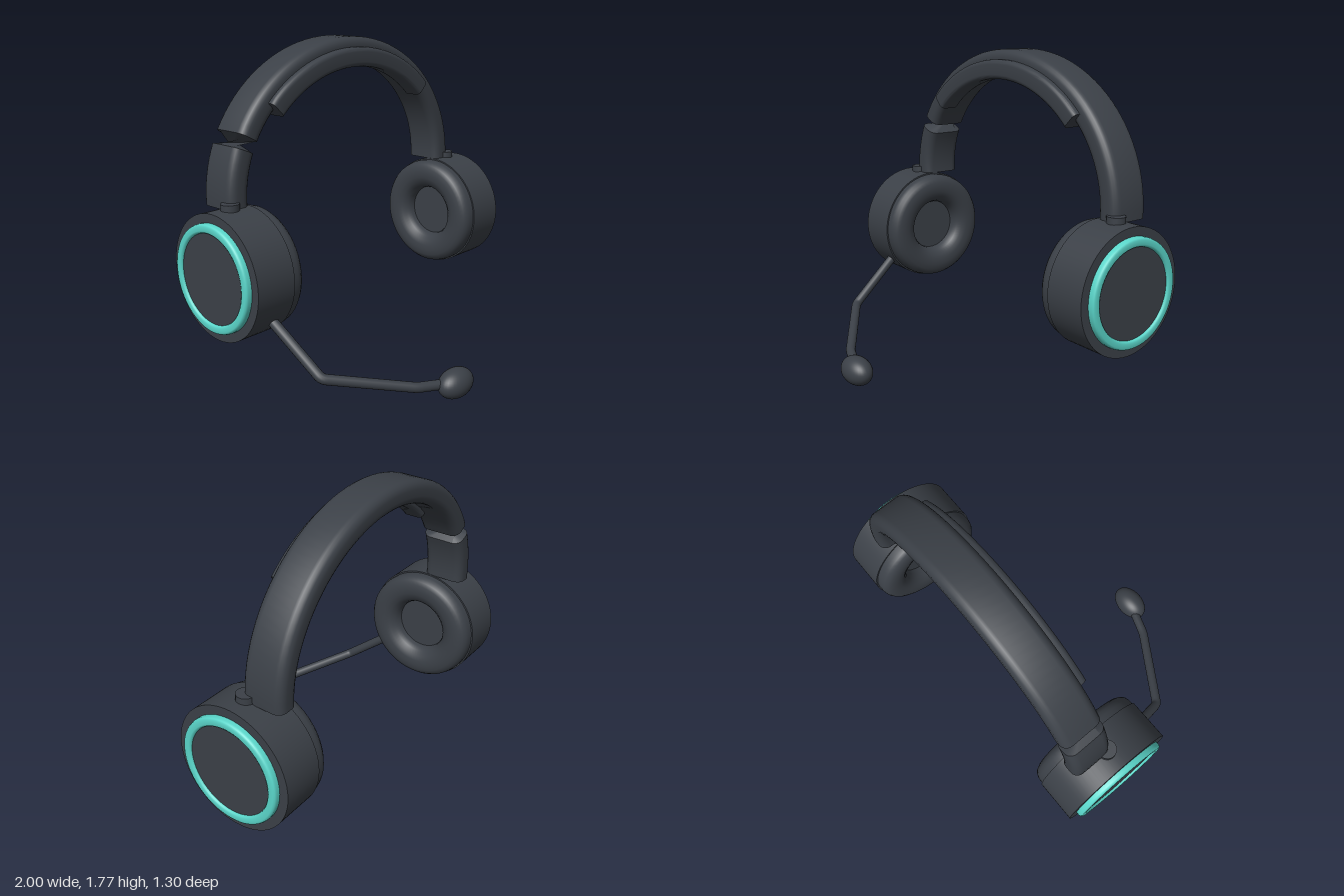
import * as THREE from 'three';
import { toCreasedNormals } from 'three/addons/utils/BufferGeometryUtils.js';

const EAR_Y = 0.65, EAR_Z = -0.32;

// rounded rectangle as [u, v] points, counter-clockwise
function roundedSection(u0, u1, v0, v1, r, n = 5) {
  const pts = [];
  const corners = [[u1 - r, v1 - r], [u0 + r, v1 - r], [u0 + r, v0 + r], [u1 - r, v0 + r]];
  corners.forEach(([u, v], k) => {
    for (let i = 0; i <= n; i++) {
      const a = (k + i / n) * Math.PI / 2;
      pts.push([u + r * Math.cos(a), v + r * Math.sin(a)]);
    }
  });
  return pts;
}

// sweep a section along the elliptical arch; u is outward, v runs along z.
// stations are [angle in degrees, flip], flip -1 turns the section half round
function archSweep(section, stations, z) {
  const a = 0.8, b = 0.7125, n = section.length, pos = [], idx = [];
  for (const [deg, flip] of stations) {
    const t = THREE.MathUtils.degToRad(deg), c = Math.cos(t), s = Math.sin(t);
    const len = Math.hypot(c / a, s / b), nx = c / a / len, ny = s / b / len;
    for (const [u, v] of section) {
      pos.push(a * c + nx * u * flip, 1 + b * s + ny * u * flip, z + v * flip);
    }
  }
  for (let i = 0; i < stations.length - 1; i++) {
    for (let j = 0; j < n; j++) {
      const p = i * n + j, q = i * n + (j + 1) % n;
      idx.push(p, p + n, q + n, p, q + n, q);
    }
  }
  const e = (stations.length - 1) * n;
  for (let j = 1; j < n - 1; j++) idx.push(0, j, j + 1, e, e + j + 1, e + j);
  const g = new THREE.BufferGeometry();
  g.setAttribute('position', new THREE.Float32BufferAttribute(pos, 3));
  g.setIndex(idx);
  return toCreasedNormals(g, 0.6);
}

function range(from, to, steps, flip) {
  return Array.from({ length: steps + 1 }, (_, i) => [from + (to - from) * i / steps, flip]);
}

function lathe(points) {
  return new THREE.LatheGeometry(points.map(p => new THREE.Vector2(p[0], p[1])), 64);
}

export function createModel() {
  const model = new THREE.Group();
  model.name = 'headset';
  const dark = new THREE.MeshStandardMaterial({ color: 0x3b4047 });
  dark.name = 'charcoal plastic';
  const teal = new THREE.MeshStandardMaterial({ color: 0x5ad6ca });
  teal.name = 'teal accent';

  function add(parent, name, geometry, material, x = 0, y = 0, z = 0) {
    const mesh = new THREE.Mesh(geometry, material);
    mesh.name = name;
    mesh.position.set(x, y, z);
    parent.add(mesh);
    return mesh;
  }

  // headband, with a half twist pinching it on the right side
  const bandStations = [...range(-2, 153.3, 44, 1), ...range(158.6, 182, 8, -1)];
  add(model, 'headband',
    archSweep(roundedSection(-0.0625, 0.0625, -0.115, 0.115, 0.045), bandStations, -0.415), dark);

  // cushion under the top of the band
  add(model, 'headbandPad',
    archSweep(roundedSection(-0.0975, 0.0075, -0.06, 0.06, 0.025), range(42, 138, 32, 1), -0.32), dark);

  // ear cups: local +y points away from the head
  const cushionProfile = [
    [0.15, 0.737], [0.152, 0.71], [0.165, 0.682], [0.19, 0.66], [0.22, 0.651], [0.25, 0.649],
    [0.28, 0.653], [0.302, 0.664], [0.316, 0.682], [0.322, 0.705], [0.322, 0.737]];
  const ringProfile = [
    [0.283, 0.963], [0.283, 0.984], [0.279, 0.994], [0.27, 0.999],
    [0.248, 0.999], [0.239, 0.994], [0.235, 0.985], [0.235, 0.963]];
  for (const side of [1, -1]) {
    const ear = new THREE.Group();
    ear.name = side > 0 ? 'leftEarCup' : 'rightEarCup';
    ear.position.set(0, EAR_Y, EAR_Z);
    ear.rotation.z = -side * Math.PI / 2;
    add(ear, 'cupShell', new THREE.CylinderGeometry(0.33, 0.33, 0.23, 64), dark, 0, 0.85);
    add(ear, 'earCushion', lathe(cushionProfile), dark);
    add(ear, 'accentRing', lathe(ringProfile), teal);
    add(ear, 'outerDisc', new THREE.CylinderGeometry(0.24, 0.24, 0.03, 64), dark, 0, 0.971);
    model.add(ear);

    // peg joining the cup to the band
    add(model, 'hingePeg', new THREE.CylinderGeometry(0.048, 0.048, 0.1, 24), dark,
      side * 0.852, 0.962, EAR_Z);
  }

  // microphone boom: straight runs with tight bends
  const pts = [[-0.818, 0.45, -0.08], [-0.77, 0.212, 0.22], [-0.37, 0.105, 0.49], [-0.2, 0.085, 0.555]]
    .map(p => new THREE.Vector3(...p));
  const boom = new THREE.CurvePath();
  let from = pts[0];
  for (let i = 1; i < pts.length - 1; i++) {
    const before = pts[i].clone().lerp(pts[i - 1], 0.025 / pts[i].distanceTo(pts[i - 1]));
    const after = pts[i].clone().lerp(pts[i + 1], 0.025 / pts[i].distanceTo(pts[i + 1]));
    boom.add(new THREE.LineCurve3(from, before));
    boom.add(new THREE.QuadraticBezierCurve3(before, pts[i], after));
    from = after;
  }
  boom.add(new THREE.LineCurve3(from, pts[3]));
  add(model, 'microphoneBoom', new THREE.TubeGeometry(boom, 90, 0.027, 16), dark);
  add(model, 'boomRoot', new THREE.SphereGeometry(0.027, 16, 12), dark, ...pts[0].toArray());

  // microphone capsule
  add(model, 'microphone', new THREE.SphereGeometry(1, 32, 24), dark, -0.16, 0.08, 0.57)
    .scale.set(0.115, 0.079, 0.077);

  return model;
}
